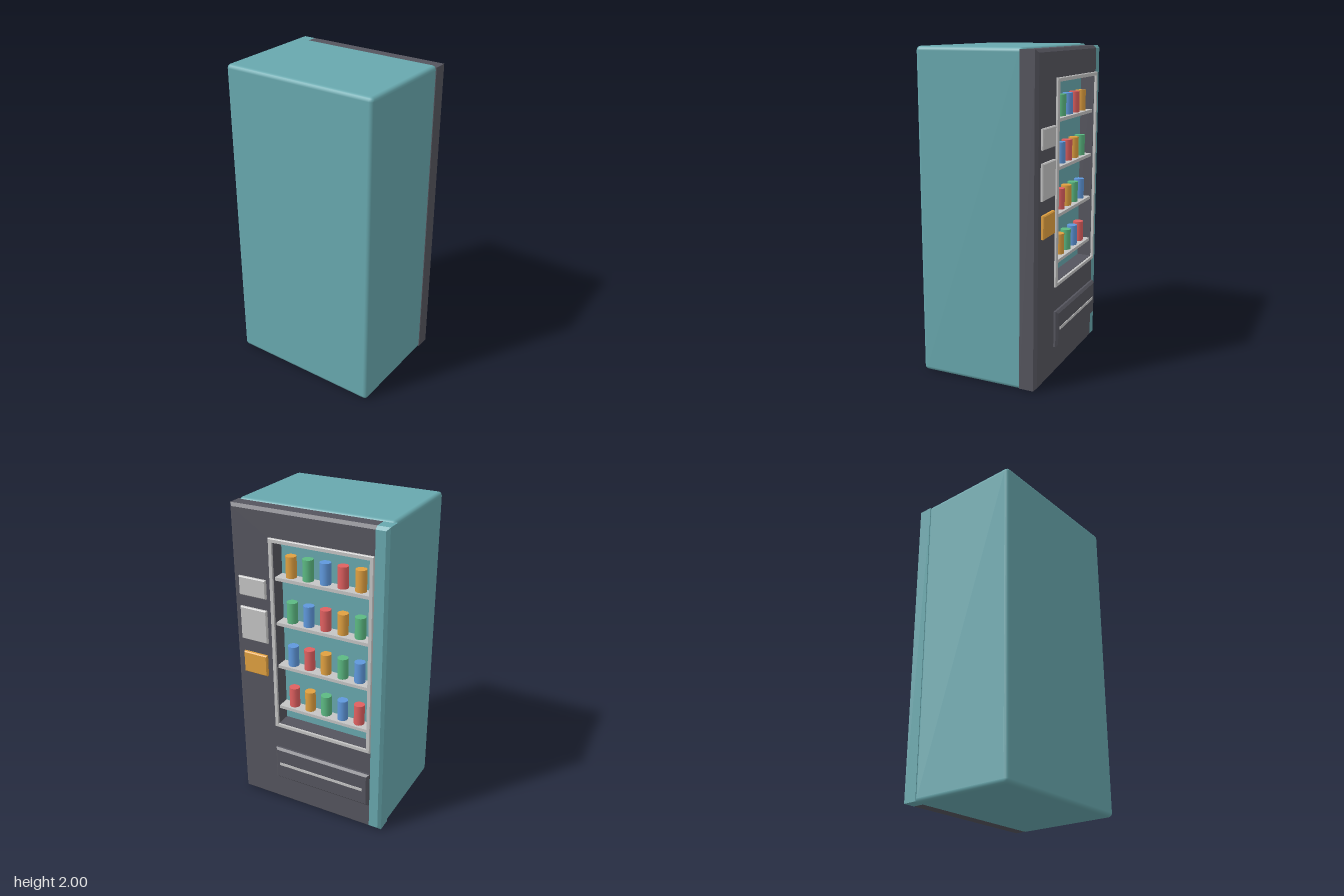
import * as THREE from 'three';
import { RoundedBoxGeometry } from 'three/addons/geometries/RoundedBoxGeometry.js';

const mat = (name, color) => Object.assign(new THREE.MeshStandardMaterial({ color }), { name });

// Rectangle as a shape or a hole
function rect(Kind, [x0, x1, y0, y1]) {
  const r = new Kind();
  r.moveTo(x0, y0); r.lineTo(x1, y0); r.lineTo(x1, y1); r.lineTo(x0, y1); r.closePath();
  return r;
}

// Plate from zBack to zFront (facing -z); its -z rim is chamfered by c along the bounds
function plate(outer, zBack, zFront, c = 0, hole = null, bounds = outer) {
  const shape = rect(THREE.Shape, outer);
  if (hole) shape.holes.push(rect(THREE.Path, hole));
  const depth = zBack - zFront;
  const geo = new THREE.ExtrudeGeometry(shape, { depth, steps: c ? 2 : 1, bevelEnabled: false });
  geo.translate(0, 0, zFront);
  if (c) {
    const p = geo.attributes.position;
    const [x0, x1, y0, y1] = bounds;
    for (let i = 0; i < p.count; i++) {
      const z = p.getZ(i);
      if (z < zFront + depth * 0.25) {
        p.setX(i, THREE.MathUtils.clamp(p.getX(i), x0 + c, x1 - c));
        p.setY(i, THREE.MathUtils.clamp(p.getY(i), y0 + c, y1 - c));
      } else if (z < zFront + depth * 0.75) p.setZ(i, zFront + c);
    }
    geo.computeVertexNormals();
  }
  return geo;
}

export function createModel() {
  const teal = mat('teal', 0x68a8ae);
  const dark = mat('charcoal', 0x55555e);
  const light = mat('lightGrey', 0xc4c4c4);
  const orange = mat('orange', 0xe0a040);
  const green = mat('green', 0x5cb982);
  const blue = mat('blue', 0x5f98dc);
  const red = mat('red', 0xe06060);

  const model = new THREE.Group();
  model.name = 'vendingMachine';
  const add = (name, geo, material, x = 0, y = 0, z = 0) => {
    const m = new THREE.Mesh(geo, material);
    m.name = name;
    m.position.set(x, y, z);
    model.add(m);
    return m;
  };

  // Cabinet
  add('cabinet', new RoundedBoxGeometry(1, 2, 0.68, 2, 0.025), teal, 0, 1, 0.06);

  // Door with window opening, and the coloured strip along its edge
  const door = [-0.503, 0.503, 0.008, 1.99];
  const split = -0.425;
  add('door', plate([split, 0.503, 0.008, 1.99], -0.262, -0.37, 0.018,
    [-0.4, 0.215, 0.6, 1.8], door), dark);
  add('doorStrip', plate([-0.503, split, 0.008, 1.99], -0.262, -0.37, 0.018, null, door), teal);

  // Window frame
  add('windowFrame', plate([split, 0.24, 0.575, 1.825], -0.365, -0.385, 0.004,
    [-0.402, 0.217, 0.598, 1.802]), light);

  // Shelves with rows of cans
  const canColours = [orange, green, blue, red];
  const canGeo = new THREE.CylinderGeometry(0.033, 0.033, 0.13, 16);
  const shelfGeo = new THREE.BoxGeometry(0.615, 0.02, 0.085);
  for (let row = 0; row < 4; row++) {
    const y = 1.585 - row * 0.287;
    add('shelf', shelfGeo, light, -0.0925, y - 0.01, -0.3175);
    for (let i = 0; i < 5; i++) {
      add('can', canGeo, canColours[(row + i) % 4], 0.133 - i * 0.1125, y + 0.065, -0.31);
    }
  }

  // Control panels
  add('displayPanel', plate([0.27, 0.455, 1.44, 1.56], -0.365, -0.387, 0.006), light);
  add('keypadPanel', plate([0.27, 0.455, 1.15, 1.365], -0.365, -0.387, 0.006), light);
  add('paymentPanel', plate([0.28, 0.445, 0.925, 1.065], -0.365, -0.39, 0.006), orange);

  // Collection flap with handle bar
  add('flap', plate([split, 0.24, 0.19, 0.42], -0.365, -0.397, 0.014), dark);
  add('flapHandle', new THREE.BoxGeometry(0.59, 0.018, 0.008), light, -0.09, 0.305, -0.397);

  return model;
}
